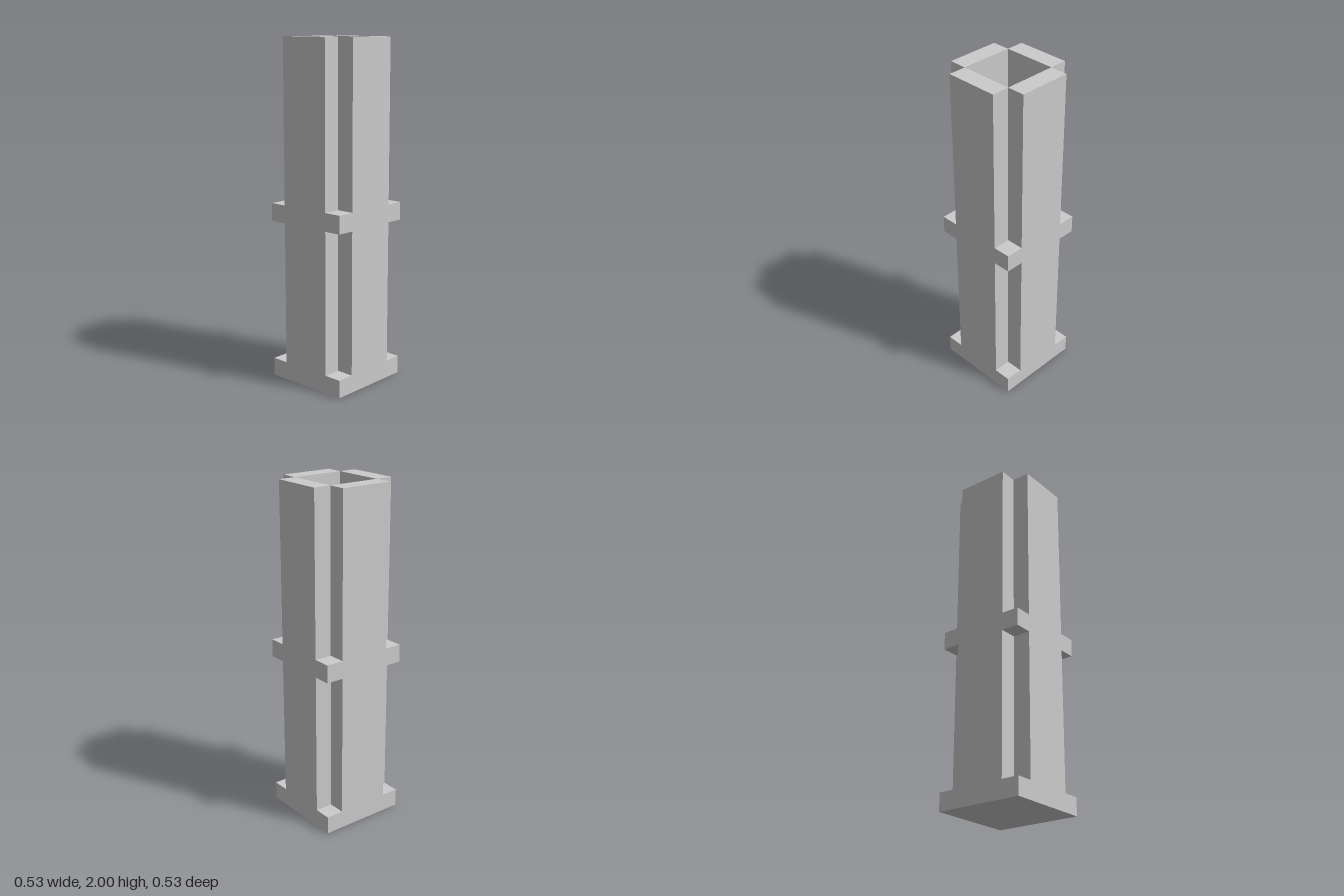
import * as THREE from 'three';

const U = 2 / 19;        // wall thickness, the module of the whole design
const OUTER = 5 * U;     // full width
const INNER = 3 * U;     // width of the hollow core
const HEIGHT = 19 * U;

export function createModel() {
  const group = new THREE.Group();
  const material = new THREE.MeshStandardMaterial({ color: 0xcccccc, flatShading: true });

  function box(name, w, h, d, x, bottom, z) {
    const mesh = new THREE.Mesh(new THREE.BoxGeometry(w, h, d), material);
    mesh.name = name;
    mesh.position.set(x, bottom + h / 2, z);
    group.add(mesh);
  }

  // Solid square base
  box('base', OUTER, U, OUTER, 0, 0, 0);

  // Four walls around the open shaft, meeting only at their inner edges
  const wallHeight = HEIGHT - U;
  const offset = 2 * U;
  for (const s of [1, -1]) {
    box(s > 0 ? 'frontWall' : 'backWall', INNER, wallHeight, U, 0, U, s * offset);
    box(s > 0 ? 'leftWall' : 'rightWall', U, wallHeight, INNER, s * offset, U, 0);
  }

  // Corner blocks that close the middle band
  for (const sx of [1, -1]) {
    for (const sz of [1, -1]) {
      const name = (sz > 0 ? 'front' : 'back') + (sx > 0 ? 'Left' : 'Right') + 'BandCorner';
      box(name, U, U, U, sx * offset, 9 * U, sz * offset);
    }
  }

  return group;
}
